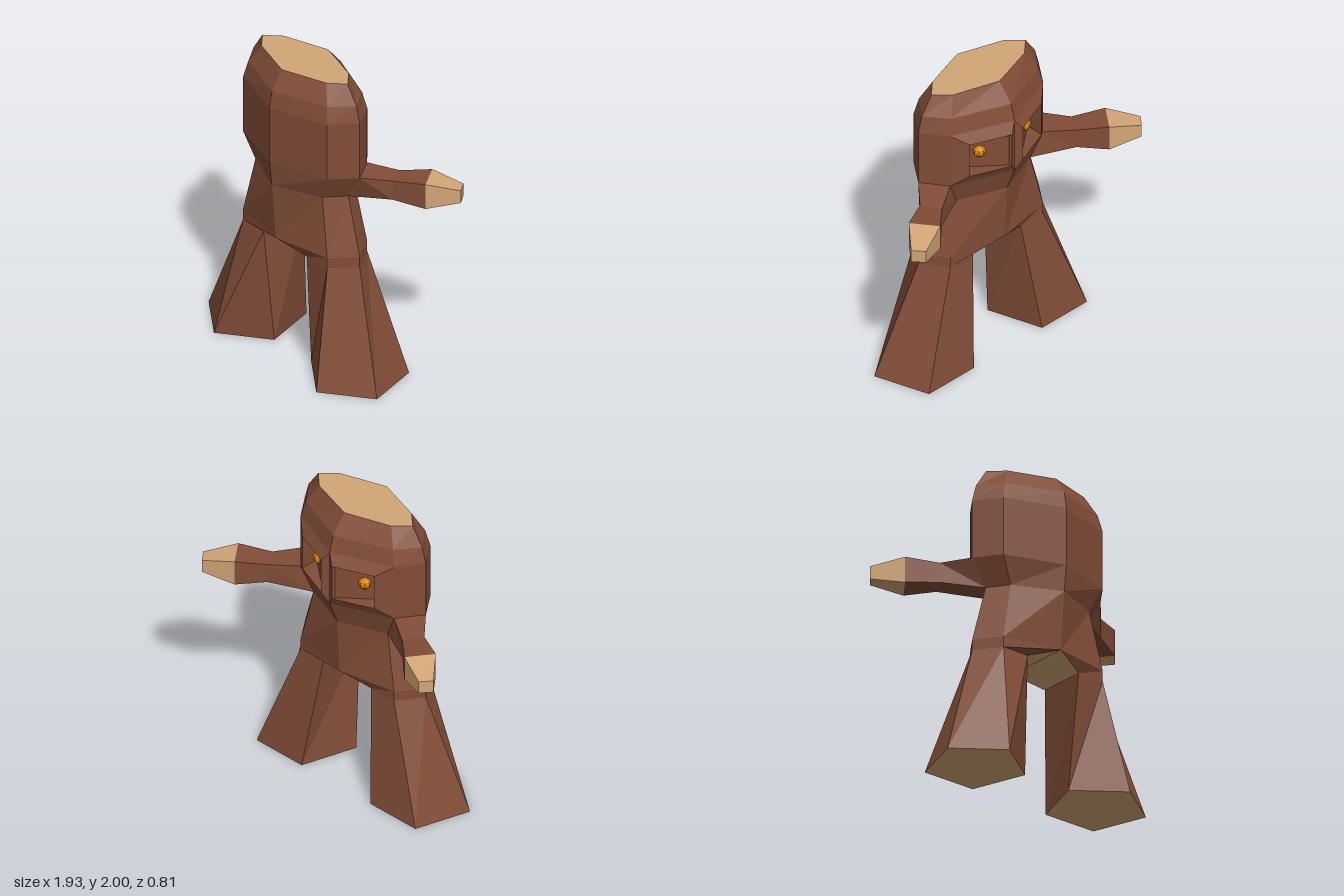
import * as THREE from 'three';

// Flat-shaded mesh from polygons (fan triangulated, counter-clockwise seen from outside)
function polyMesh(name, polys, material) {
  const pos = [];
  for (const p of polys)
    for (let i = 1; i < p.length - 1; i++) pos.push(...p[0], ...p[i], ...p[i + 1]);
  const g = new THREE.BufferGeometry();
  g.setAttribute('position', new THREE.Float32BufferAttribute(pos, 3));
  g.computeVertexNormals();
  const m = new THREE.Mesh(g, material);
  m.name = name;
  return m;
}

// Mirror polygons across x = 0, keeping them facing outwards
const mirror = polys => polys.map(p => p.map(([x, y, z]) => [-x, y, z]).reverse());

// Quads joining loop a to loop b
function loft(a, b) {
  return a.map((p, i) => {
    const j = (i + 1) % a.length;
    return [p, a[j], b[j], b[i]];
  });
}

export function createModel() {
  const bark = new THREE.MeshStandardMaterial({ color: 0x824d38 });
  bark.name = 'bark brown';
  const wood = new THREE.MeshStandardMaterial({ color: 0xd2a577 });
  wood.name = 'cut wood tan';
  const amber = new THREE.MeshStandardMaterial({ color: 0xd98208 });
  amber.name = 'eye amber';

  const group = new THREE.Group();
  group.name = 'stumpCreature';

  // Trunk ring: front centre, then round by +x to the back and on by -x
  const C = 0.08;
  const ring = (y, outer, mid, midZ, front, back) => [
    [0, y, front], [mid, y, C + midZ], [outer, y, C], [mid, y, C - midZ],
    [0, y, back], [-mid, y, C - midZ], [-outer, y, C], [-mid, y, C + midZ],
  ];
  const rings = [
    ring(0.84, 0.505, 0.39, 0.16, 0.315, -0.15),
    ring(1.22, 0.40, 0.31, 0.13, 0.345, -0.17),
    ring(1.39, 0.505, 0.39, 0.16, 0.365, -0.235),
    ring(1.77, 0.505, 0.39, 0.16, 0.365, -0.235),
    ring(1.88, 0.475, 0.365, 0.14, 0.345, -0.205),
    ring(2.0, 0.395, 0.30, 0.09, 0.267, -0.105),
  ];
  const trunk = [];
  for (let r = 0; r < rings.length - 1; r++)
    loft(rings[r], rings[r + 1]).forEach((q, i) => {
      if (r === 2 && (i === 3 || i === 4)) return; // eye sockets
      if (r === 1 && (i === 2 || i === 5)) return; // arm roots
      trunk.push(q);
    });
  group.add(polyMesh('trunk', trunk, bark));
  group.add(polyMesh('cutTop', [rings[5]], wood));

  // Eye socket on the +x side: raised rim, then a slanted hollow
  const [lo, hi] = [rings[2], rings[3]];
  const y0 = 1.46, y1 = 1.70;
  const face = [lo[3], lo[4], hi[4], hi[3]];
  const rect = (xo, zo, xi, zi) => [[xo, y0, zo], [xi, y0, zi], [xi, y1, zi], [xo, y1, zo]];
  const rim = rect(0.30, -0.16, 0.045, -0.262);
  const floor = rect(0.30, -0.035, 0.05, -0.24);
  const socket = [...loft(face, rim), ...loft(rim, floor), floor];

  // Leg on the +x side: short hip under the trunk, then a flared pentagon
  const hip = [
    [0.39, 0.77, 0.24], [0.505, 0.77, 0.08], [0.39, 0.77, -0.08],
    [0.20, 0.77, -0.08], [0.20, 0.77, 0.24],
  ];
  const footAngles = [0, 1, 2, 3, 4].map(i => i * Math.PI * 2 / 5);
  const foot = footAngles.map(a => [0.475 + 0.32 * Math.sin(a), 0, 0.08 + 0.32 * Math.cos(a)]);
  const base = rings[0];
  const leg = [
    ...loft(foot, hip),
    [hip[0], hip[1], base[2], base[1]],
    [hip[1], hip[2], base[3], base[2]],
    [hip[2], hip[3], base[4], base[3]],
    [hip[4], hip[0], base[1], base[0]],
  ];
  const sole = [[...foot].reverse()];
  const crotch = [[hip[4], base[0], base[4], hip[3]]];

  // Arm on the +x side, swept towards the face
  const section = (xf, zf, xb, zb, yLow, yHigh) => [
    [xf, yLow, zf], [xb, yLow, zb], [xb, yHigh, zb], [xf, yHigh, zf],
  ];
  const root = [rings[1][2], rings[1][3], rings[2][3], rings[2][2]];
  const elbow = section(0.635, -0.07, 0.565, -0.19, 1.24, 1.37);
  const wrist = section(0.825, -0.17, 0.71, -0.325, 1.22, 1.39);
  const tip = section(0.963, -0.335, 0.905, -0.405, 1.26, 1.345);
  const arm = [...loft(root, elbow), ...loft(elbow, wrist)];
  const hand = [...loft(wrist, tip), tip];

  // Place each part on both sides
  const parts = [
    ['EyeSocket', socket, bark], ['Leg', leg, bark], ['Sole', sole, wood],
    ['Underside', crotch, wood], ['Arm', arm, bark], ['Hand', hand, wood],
  ];
  for (const [name, polys, material] of parts) {
    group.add(polyMesh('left' + name, polys, material));
    group.add(polyMesh('right' + name, mirror(polys), material));
  }

  // Small faceted eyes resting in the sockets
  for (const s of [1, -1]) {
    const geo = new THREE.SphereGeometry(0.04, 8, 6).toNonIndexed();
    geo.computeVertexNormals();
    const eye = new THREE.Mesh(geo, amber);
    eye.name = s > 0 ? 'leftEye' : 'rightEye';
    eye.position.set(s * 0.19, 1.58, -0.125);
    group.add(eye);
  }
  return group;
}
